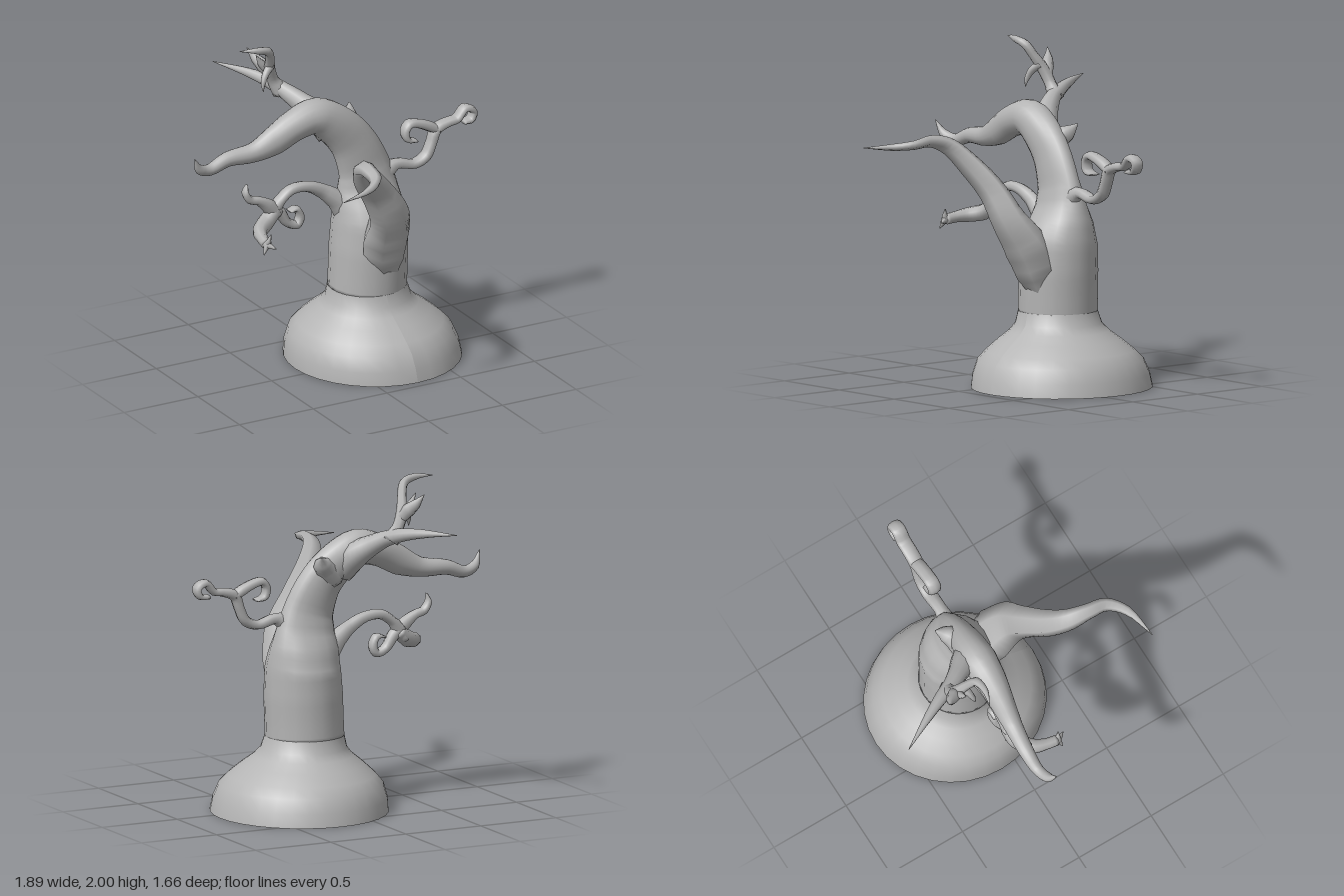
import * as THREE from 'three';

const bark = new THREE.MeshStandardMaterial({ color: 0xb4b4b4, side: THREE.DoubleSide });
bark.name = 'grey bark';

// Tapered limb through rows of [x, y, z, a, b]; a is the half-width along ref, b across it (default a).
function limb(name, rows, { ref = [0, 0, 1], sides = 12, steps = 4 } = {}) {
  const path = new THREE.CatmullRomCurve3(rows.map(r => new THREE.Vector3(r[0], r[1], r[2])));
  const n = (rows.length - 1) * steps;
  const pos = [], idx = [];
  const u = new THREE.Vector3(...ref), v = new THREE.Vector3();
  const ring = (c, a, b) => {
    for (let j = 0; j < sides; j++) {
      const t = (j / sides) * Math.PI * 2;
      const p = c.clone().addScaledVector(u, Math.cos(t) * a).addScaledVector(v, Math.sin(t) * b);
      pos.push(p.x, p.y, p.z);
    }
  };
  for (let i = 0; i <= n; i++) {
    const t = i / n, k = Math.min(Math.floor(i / steps), rows.length - 2), f = i / steps - k;
    const c = path.getPoint(t), tan = path.getTangent(t);
    u.addScaledVector(tan, -u.dot(tan)).normalize();
    v.crossVectors(tan, u);
    const mix = q => THREE.MathUtils.lerp(rows[k][q] ?? rows[k][3], rows[k + 1][q] ?? rows[k + 1][3], f);
    if (i === 0) ring(c, 0, 0);
    ring(c, mix(3), mix(4));
    if (i === n) ring(c, 0, 0);
  }
  for (let i = 0; i < n + 2; i++) {
    for (let j = 0; j < sides; j++) {
      const p = i * sides + j, q = i * sides + (j + 1) % sides;
      idx.push(p, q, p + sides, q, q + sides, p + sides);
    }
  }
  const g = new THREE.BufferGeometry();
  g.setAttribute('position', new THREE.Float32BufferAttribute(pos, 3));
  g.setIndex(idx);
  g.computeVertexNormals();
  const m = new THREE.Mesh(g, bark);
  m.name = name;
  return m;
}

// Scroll lying in an xy plane: rows of [x, y, half-thickness, own depth if any].
const scroll = (name, z, depth, rows) =>
  limb(name, rows.map(([x, y, b, d]) => [x, y, z, d ?? depth, b]), { sides: 8 });

export function createModel() {
  const tree = new THREE.Group();
  tree.name = 'twistedTree';

  // Hollow flared mound
  const profile = [[0.525, 0], [0.515, 0.08], [0.485, 0.165], [0.435, 0.22], [0.36, 0.285],
    [0.295, 0.335], [0.256, 0.38], [0.236, 0.455]].map(p => new THREE.Vector2(...p));
  const moundGeo = new THREE.LatheGeometry(profile, 32);
  const mp = moundGeo.attributes.position;
  for (let i = 0; i < mp.count; i++) {
    const low = 1 - mp.getY(i) / 0.455;
    mp.setX(i, mp.getX(i) + 0.202 + 0.036 * low);
    mp.setZ(i, mp.getZ(i) * (1 + 0.045 * low) - 0.097);
  }
  moundGeo.computeVertexNormals();
  const mound = new THREE.Mesh(moundGeo, bark);
  mound.name = 'mound';
  tree.add(mound);

  // Trunk narrowing above its shoulders, then bending over into the long bough
  tree.add(limb('trunk', [
    [0.202, 0.44, -0.097, 0.236], [0.205, 0.55, -0.095, 0.235], [0.21, 0.7, -0.095, 0.235],
    [0.215, 0.86, -0.1, 0.225, 0.226], [0.212, 0.98, -0.112, 0.178, 0.212], [0.205, 1.09, -0.115, 0.115, 0.188],
    [0.185, 1.2, -0.115, 0.085, 0.165],
    [0.11, 1.37, -0.125, 0.085, 0.14], [0, 1.49, -0.14, 0.1, 0.125], [-0.12, 1.56, -0.15, 0.108, 0.11],
    [-0.26, 1.53, -0.15, 0.092, 0.095], [-0.4, 1.455, -0.155, 0.072, 0.088], [-0.53, 1.405, -0.165, 0.056, 0.06],
    [-0.7, 1.39, -0.18, 0.045], [-0.82, 1.35, -0.175, 0.035], [-0.9, 1.375, -0.155, 0.03],
    [-0.95, 1.46, -0.125, 0.002],
  ], { sides: 18 }));

  // Broad angular front bough sweeping up and out
  tree.add(limb('frontBough', [
    [0.25, 0.56, 0.04, 0.07, 0.08], [0.22, 0.7, 0.08, 0.14, 0.12], [0.2, 0.85, 0.145, 0.155, 0.125],
    [0.16, 1.01, 0.245, 0.125, 0.095], [0.06, 1.18, 0.29, 0.1, 0.075], [-0.06, 1.33, 0.365, 0.085, 0.062],
    [-0.14, 1.44, 0.455, 0.066, 0.048], [-0.17, 1.48, 0.57, 0.048, 0.034], [-0.185, 1.465, 0.69, 0.04, 0.026],
    [-0.28, 1.45, 0.78, 0.028, 0.02], [-0.48, 1.43, 0.83, 0.002],
  ], { ref: [1, 0, 0], sides: 6 }));

  // Knob on the bend
  tree.add(limb('knob', [
    [0.05, 1.4, -0.14, 0.09], [0.11, 1.46, -0.18, 0.07], [0.15, 1.495, -0.22, 0.05], [0.18, 1.545, -0.27, 0.004],
  ], { sides: 8 }));

  // Left scroll branch with two curls
  tree.add(scroll('leftBranch', -0.1, 0.045, [
    [0.22, 1.05, 0.12, 0.07], [0.32, 1.13, 0.065, 0.055], [0.4, 1.17, 0.034, 0.04], [0.52, 1.145, 0.028],
    [0.6, 1.18, 0.032], [0.64, 1.26, 0.03], [0.67, 1.335, 0.034], [0.75, 1.365, 0.026], [0.81, 1.375, 0.024],
    [0.865, 1.432, 0.023], [0.92, 1.405, 0.022], [0.905, 1.355, 0.02], [0.85, 1.348, 0.014],
  ]));
  tree.add(scroll('leftCurl', -0.1, 0.043, [
    [0.68, 1.33, 0.028], [0.62, 1.365, 0.032], [0.55, 1.395, 0.028], [0.49, 1.405, 0.025],
    [0.46, 1.365, 0.024], [0.475, 1.31, 0.02], [0.53, 1.295, 0.008],
  ]));

  // Right scroll branch: arch, inner curl, raised tip and forward twig
  tree.add(scroll('rightBranch', -0.13, 0.04, [
    [0.08, 0.95, 0.1, 0.08], [0, 1.02, 0.06, 0.06], [-0.08, 1.08, 0.045], [-0.18, 1.13, 0.034],
    [-0.29, 1.135, 0.03], [-0.36, 1.09, 0.03], [-0.41, 1.03, 0.045], [-0.45, 0.97, 0.03],
  ]));
  tree.add(scroll('rightCurl', -0.13, 0.038, [
    [-0.43, 1.05, 0.035], [-0.37, 1.0, 0.038], [-0.32, 0.93, 0.028], [-0.26, 0.905, 0.027],
    [-0.235, 0.95, 0.025], [-0.26, 1.005, 0.02], [-0.31, 1.0, 0.006],
  ]));
  tree.add(scroll('rightTip', -0.12, 0.035, [
    [-0.39, 1.0, 0.04], [-0.45, 1.06, 0.045], [-0.52, 1.11, 0.028], [-0.58, 1.13, 0.026],
    [-0.61, 1.18, 0.018], [-0.6, 1.23, 0.003, 0.015],
  ]));
  tree.add(limb('rightTwig', [
    [-0.4, 1.03, -0.13, 0.045], [-0.48, 0.965, -0.11, 0.05], [-0.55, 0.945, -0.05, 0.045],
    [-0.58, 0.935, 0.03, 0.034], [-0.59, 0.925, 0.1, 0.032],
  ], { sides: 8 }));
  for (const [x, y, z] of [[-0.62, 0.87, 0.12], [-0.57, 0.99, 0.12], [-0.56, 0.91, 0.16]])
    tree.add(limb('twigProng', [[-0.585, 0.93, 0.05, 0.03], [-0.59, 0.925, 0.1, 0.026], [x, y, z, 0.003]], { sides: 6 }));

  // Rear spike growing out of the bend
  tree.add(limb('rearSpike', [
    [-0.02, 1.44, -0.14, 0.09], [-0.07, 1.53, -0.22, 0.085], [-0.13, 1.595, -0.3, 0.062, 0.065],
    [-0.19, 1.65, -0.39, 0.048], [-0.24, 1.685, -0.49, 0.04], [-0.31, 1.71, -0.62, 0.027],
    [-0.43, 1.728, -0.83, 0.002],
  ], { ref: [1, 0, 0], sides: 10 }));

  // Antler-like sprig rising from the spike
  const sprigs = {
    sprigStem: [[-0.2, 1.64, -0.42, 0.055], [-0.25, 1.72, -0.425, 0.036], [-0.29, 1.81, -0.4, 0.036],
      [-0.315, 1.89, -0.35, 0.028], [-0.35, 1.96, -0.31, 0.027], [-0.43, 1.985, -0.3, 0.02],
      [-0.53, 1.99, -0.33, 0.002]],
    sprigBackProng: [[-0.27, 1.76, -0.41, 0.034], [-0.31, 1.82, -0.445, 0.042], [-0.34, 1.86, -0.48, 0.03],
      [-0.38, 1.92, -0.51, 0.002]],
    sprigFrontProng: [[-0.29, 1.84, -0.38, 0.028], [-0.34, 1.8, -0.355, 0.022], [-0.365, 1.75, -0.34, 0.016],
      [-0.37, 1.7, -0.33, 0.002]],
    sprigSideProng: [[-0.29, 1.79, -0.41, 0.03], [-0.34, 1.85, -0.41, 0.022], [-0.38, 1.91, -0.4, 0.002]],
  };
  for (const [name, rows] of Object.entries(sprigs)) tree.add(limb(name, rows, { sides: 7 }));

  return tree;
}
